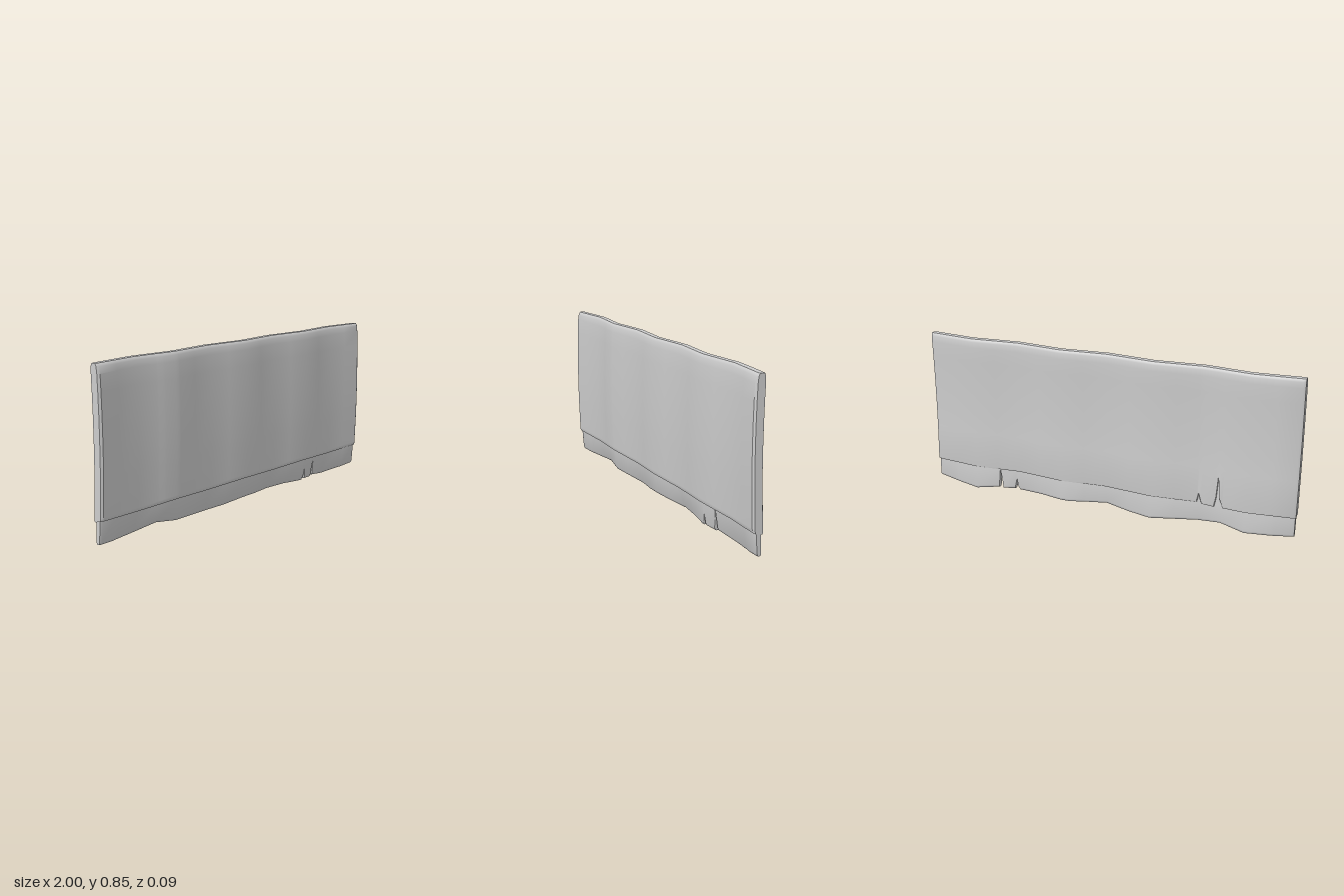
import * as THREE from 'three';
import { toCreasedNormals } from 'three/addons/utils/BufferGeometryUtils.js';

// Piecewise-linear lookup in a list of [x, value]
function lerpList(list, x) {
  for (let i = 1; i < list.length; i++) {
    const [x0, v0] = list[i - 1], [x1, v1] = list[i];
    if (x <= x1) return v0 + (v1 - v0) * (x - x0) / (x1 - x0);
  }
  return list[list.length - 1][1];
}

// Middle surface of the sheet: a shallow bow in height and a ripple along x
function middleZ(x, y) {
  const hem = THREE.MathUtils.clamp((0.13 - y) / 0.12, 0, 1);
  const bow = 0.008 - 0.07 * (y - 0.5) ** 2 - 0.007 * hem;
  return bow + (0.0115 + 0.0075 * hem) * Math.cos(4 * Math.PI * x);
}

// Sweeps a section along x. section(x) lists [yFront, zFront, yBack, zBack] from bottom to top.
function sweepSheet(halfWidth, extraX, section) {
  const xs = [-halfWidth, -halfWidth + 0.012, halfWidth - 0.012, halfWidth, ...extraX];
  for (let k = -7; k <= 7; k++) xs.push(k / 8);
  const cols = [...new Set(xs)].sort((a, b) => a - b);
  const pos = [], idx = [];
  let n = 0;
  cols.forEach((x, i) => {
    const pairs = section(x);
    const end = i === 0 || i === cols.length - 1 ? 0.72 : 1; // bevelled side edges
    n = pairs.length;
    for (const [y, z] of pairs) pos.push(x, y, middleZ(x, y) + z * end);
    for (const [, , y, z] of [...pairs].reverse()) pos.push(x, y, middleZ(x, y) + z * end);
  });
  const ring = 2 * n, last = (cols.length - 1) * ring;
  const quad = (a, b, c, d) => idx.push(a, b, c, a, c, d);
  for (let i = 0; i < cols.length - 1; i++) {
    for (let j = 0; j < ring; j++) {
      const a = i * ring + j, d = i * ring + (j + 1) % ring;
      quad(a, a + ring, d + ring, d);
    }
  }
  // side caps
  for (let j = 0; j < n - 1; j++) {
    const f0 = j, f1 = j + 1, b0 = ring - 1 - j, b1 = ring - 2 - j;
    quad(b0, f0, f1, b1);
    quad(last + f0, last + b0, last + b1, last + f1);
  }
  const geo = new THREE.BufferGeometry();
  geo.setAttribute('position', new THREE.Float32BufferAttribute(pos, 3));
  geo.setIndex(idx);
  return toCreasedNormals(geo, 0.65);
}

export function createModel() {
  const group = new THREE.Group();
  const cloth = new THREE.MeshStandardMaterial({ color: 0xcccccc, side: THREE.DoubleSide });
  cloth.name = 'light grey cloth';

  // Main panel, with two tears in the lower back edge
  const backEdge = [[-1, 0.125], [-0.632, 0.122], [-0.615, 0.165], [-0.603, 0.28], [-0.594, 0.16],
    [-0.585, 0.118], [-0.518, 0.12], [-0.502, 0.17], [-0.493, 0.125], [1, 0.125]];
  const panelGeo = sweepSheet(1, backEdge.slice(1, -1).map(p => p[0]), x => {
    const seam = 0.127 + 0.006 * Math.cos(4 * Math.PI * x);
    const b = lerpList(backEdge, x);
    const rows = [
      [seam, 0.016, seam, -0.016],
      [seam, 0.024, b, -0.016],
      [seam + 0.01, 0.027, b, -0.025],
      [seam + 0.02, 0.027, b + 0.01, -0.028],
    ];
    for (const y of [0.32, 0.42, 0.52, 0.62, 0.72, 0.8]) rows.push([y, 0.027, y, -0.027]);
    rows.push([0.83, 0.024, 0.83, -0.024], [0.84, 0.02, 0.84, -0.02], [0.845, 0.014, 0.845, -0.014]);
    return rows;
  });
  const panel = new THREE.Mesh(panelGeo, cloth);
  panel.name = 'mainPanel';

  // Thinner hem below, with an uneven edge and two tears
  const hemEdge = [[-1, 0.02], [-0.9, 0.013], [-0.75, 0.012], [-0.62, 0.034], [-0.5, 0.02], [-0.25, 0.003],
    [-0.125, 0.01], [0, 0.025], [0.2, 0.014], [0.375, 0.019], [0.505, 0.014], [0.517, 0.03], [0.523, 0.065],
    [0.533, 0.018], [0.6, 0.013], [0.608, 0.06], [0.617, 0.105], [0.622, 0.018], [0.75, 0], [0.9, 0.012], [1, 0.024]];
  const hemGeo = sweepSheet(0.996, hemEdge.slice(1, -1).map(p => p[0]), x => {
    const b = lerpList(hemEdge, x);
    return [
      [b, 0.007, b, -0.007],
      [b + 0.004, 0.011, b + 0.004, -0.011],
      [b + 0.013, 0.014, b + 0.013, -0.014],
      [0.13, 0.017, 0.13, -0.017],
      [0.18, 0.015, 0.18, -0.015],
    ];
  });
  const hem = new THREE.Mesh(hemGeo, cloth);
  hem.name = 'tornHem';

  group.add(panel, hem);
  return group;
}
